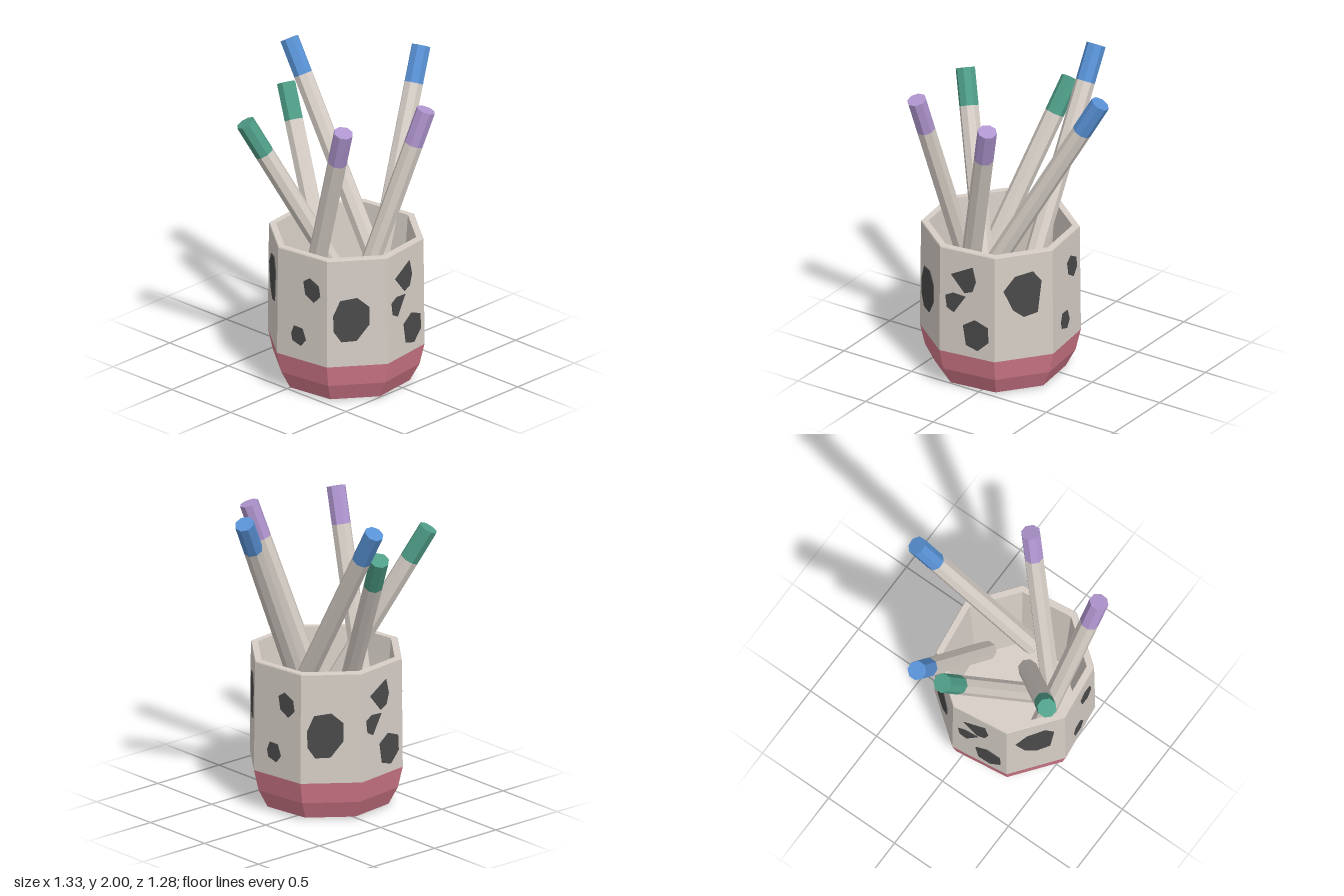
import * as THREE from 'three';

const mat = (name, color) => {
  const m = new THREE.MeshStandardMaterial({ color, flatShading: true });
  m.name = name;
  return m;
};

export function createModel() {
  const warmGrey = mat('warmGrey', 0xd6cec6);
  const pink = mat('pink', 0xd67b8c);
  const charcoal = mat('charcoal', 0x4a4a4a);
  const blue = mat('blue', 0x5891d4);
  const green = mat('green', 0x4f9e88);
  const purple = mat('purple', 0xb096d0);

  const model = new THREE.Group();
  model.name = 'pencilPot';
  const add = (parent, name, geometry, material) => {
    const mesh = new THREE.Mesh(geometry, material);
    mesh.name = name;
    parent.add(mesh);
    return mesh;
  };

  // Eight-sided pot, standing off centre
  const pot = new THREE.Group();
  pot.name = 'pot';
  pot.position.set(-0.1, 0, 0.118);
  model.add(pot);
  const octagonal = (points) => new THREE.LatheGeometry(
    points.map(([r, y]) => new THREE.Vector2(r, y)), 8, Math.PI / 6);

  // Pink foot with a barely domed underside
  add(pot, 'foot', octagonal([[0, 0], [0.402, 0.01], [0.463, 0.125], [0.495, 0.262]]), pink);
  // Outer wall, rim, inner wall and inner floor
  add(pot, 'wall', octagonal([
    [0.495, 0.262], [0.488, 0.965], [0.484, 0.972], [0.442, 0.972], [0.385, 0.22], [0, 0.22],
  ]), warmGrey);

  // Stone chips: outlines of (sideways, height) on four faces, repeated twice round
  const chipFaces = [
    [ // two small chips
      [[0.01, 0.793], [0.057, 0.825], [0.126, 0.787], [0.137, 0.72], [0.09, 0.67], [0.026, 0.708]],
      [[-0.08, 0.427], [-0.06, 0.48], [0.004, 0.475], [0.03, 0.405], [-0.006, 0.358], [-0.07, 0.38]],
    ],
    [ // one high chip
      [[-0.13, 0.735], [-0.055, 0.825], [0.06, 0.845], [0.115, 0.777], [0.09, 0.565], [0, 0.545], [-0.07, 0.6]],
    ],
    [ // three chips
      [[-0.11, 0.8], [0.037, 0.875], [0.06, 0.78], [0.037, 0.71], [-0.016, 0.69]],
      [[-0.148, 0.65], [-0.095, 0.676], [-0.01, 0.666], [-0.09, 0.544], [-0.137, 0.57]],
      [[-0.026, 0.47], [0.053, 0.52], [0.143, 0.485], [0.148, 0.385], [0.075, 0.315], [-0.005, 0.34]],
    ],
    [ // one middle chip
      [[-0.15, 0.6], [-0.106, 0.7], [0, 0.715], [0.075, 0.65], [0.075, 0.535], [-0.005, 0.43], [-0.1, 0.427], [-0.146, 0.495]],
    ],
  ];
  const base = 0.262;
  const apothem = 0.495 * Math.cos(Math.PI / 8);
  for (let i = 0; i < 8; i++) {
    const angle = THREE.MathUtils.degToRad(-7.5 + 45 * i);
    const face = new THREE.Group();
    face.name = 'chipFace';
    face.position.set(apothem * Math.cos(angle), base, apothem * Math.sin(angle));
    face.rotation.order = 'YXZ';
    face.rotation.set(-0.0092, Math.PI / 2 - angle, 0);
    pot.add(face);
    for (const outline of chipFaces[i % 4]) {
      const shape = new THREE.Shape(outline.map(([u, y]) => new THREE.Vector2(u, y - base)));
      const chip = new THREE.ExtrudeGeometry(shape, { depth: 0.008, bevelEnabled: false });
      chip.translate(0, 0, -0.003);
      add(face, 'stoneChip', chip, charcoal);
    }
  }

  // Pencils of equal length, each from its lower end to its coloured end
  const radius = 0.061, capLength = 0.235;
  const up = new THREE.Vector3(0, 1, 0);
  const pencils = [
    [[0.13, 0.7, 0.145], [0.13, 1.968, -0.588], blue],
    [[-0.07, 0.7, 0.335], [0.61, 1.968, 0.072], blue],
    [[-0.09, 0.46, 0.265], [-0.61, 1.74, -0.25], green],
    [[-0.28, 0.45, 0.2], [0.005, 1.74, -0.495], green],
    [[-0.36, 0.45, 0.02], [-0.485, 1.85, 0.465], purple],
    [[-0.25, 0.45, 0.28], [0.12, 1.85, 0.585], purple],
  ];
  for (const [from, to, colour] of pencils) {
    const start = new THREE.Vector3(...from);
    const axis = new THREE.Vector3(...to).sub(start);
    const length = axis.length();
    const pencil = new THREE.Group();
    pencil.name = 'pencil';
    pencil.position.copy(start);
    pencil.quaternion.setFromUnitVectors(up, axis.normalize());
    model.add(pencil);
    const part = (name, bottom, top, material) => {
      const g = new THREE.CylinderGeometry(radius, radius, top - bottom, 8);
      g.rotateY(Math.PI / 8);
      g.translate(0, (top + bottom) / 2, 0);
      add(pencil, name, g, material);
    };
    part('pencilShaft', 0, length - capLength, warmGrey);
    part('pencilEnd', length - capLength, length, colour);
  }
  return model;
}
